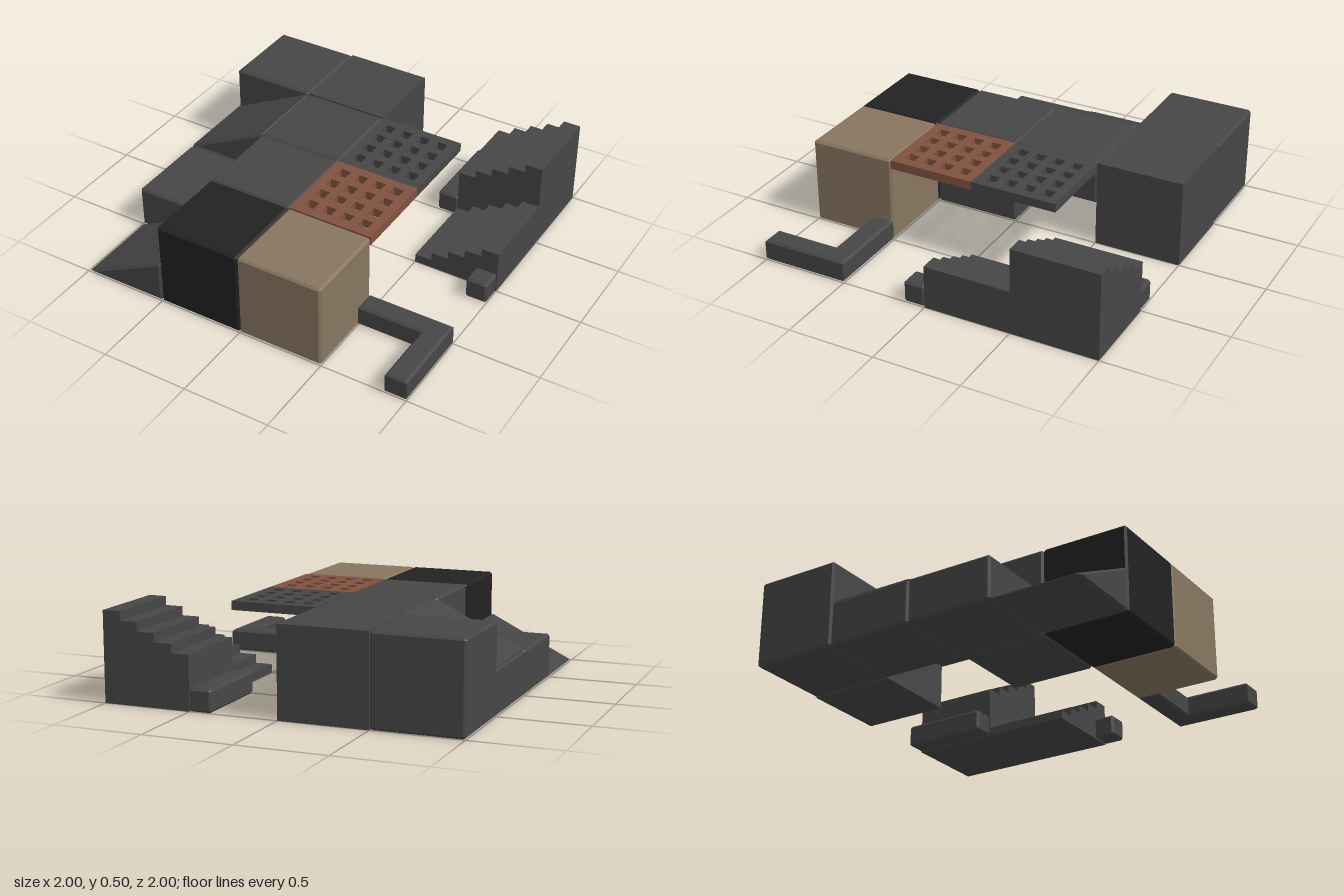
import * as THREE from 'three';
import { ConvexGeometry } from 'three/addons/geometries/ConvexGeometry.js';

const CELL = 0.5, CURB = 0.125, BEVEL = 0.012;

// Convex x-y profile run from z0 to z1 with every edge chamfered
function chamferPrism(profile, z0, z1, c = BEVEL) {
  const pts = [];
  profile.forEach(([x, y], i) => {
    const n = profile.length;
    const p = new THREE.Vector2(x, y);
    const u = new THREE.Vector2(...profile[(i + 1) % n]).sub(p).normalize();
    const v = new THREE.Vector2(...profile[(i + n - 1) % n]).sub(p).normalize();
    const inset = u.clone().add(v).multiplyScalar(c / Math.abs(u.cross(v))).add(p);
    for (const [z, zin] of [[z0, z0 + c], [z1, z1 - c]]) {
      pts.push(new THREE.Vector3(inset.x, inset.y, z));
      for (const d of [u, v]) pts.push(new THREE.Vector3(x + d.x * c, y + d.y * c, zin));
    }
  });
  return new ConvexGeometry(pts);
}

const chamferBox = (x0, x1, y0, y1, z0, z1) =>
  chamferPrism([[x0, y0], [x1, y0], [x1, y1], [x0, y1]], z0, z1);

const shapeOf = (pts) => new THREE.Shape(pts.map(([x, y]) => new THREE.Vector2(x, y)));

// Five steps rising towards +x, solid to the ground
function stairs(firstHeight, z0) {
  const pts = [[0.5, 0]];
  for (let i = 0; i < 5; i++) {
    const h = firstHeight + i * 0.05;
    pts.push([0.5 + i * 0.1, h], [0.6 + i * 0.1, h]);
  }
  pts.push([1, 0]);
  const geo = new THREE.ExtrudeGeometry(shapeOf(pts.reverse()), { depth: CELL, bevelEnabled: false });
  return geo.translate(0, 0, z0);
}

// Square plate with a four by four set of holes
function grate(x0, z0) {
  const shape = shapeOf([[0, 0], [CELL, 0], [CELL, CELL], [0, CELL]]);
  const a = 0.055, pitch = 0.11, w = 0.06;
  for (let i = 0; i < 4; i++) {
    for (let j = 0; j < 4; j++) {
      const x = a + i * pitch, y = a + j * pitch;
      shape.holes.push(new THREE.Path([[x, y], [x, y + w], [x + w, y + w], [x + w, y]]
        .map(([px, py]) => new THREE.Vector2(px, py))));
    }
  }
  const geo = new THREE.ExtrudeGeometry(shape, { depth: 0.05, bevelEnabled: false });
  return geo.rotateX(Math.PI / 2).translate(x0, 0.5, z0);
}

// L-shaped curb lying on the ground
function cornerCurb() {
  const shape = shapeOf([[0.5, 0.5], [1, 0.5], [1, 1], [1 - CURB, 1], [1 - CURB, 0.5 + CURB], [0.5, 0.5 + CURB]]);
  const geo = new THREE.ExtrudeGeometry(shape, {
    depth: CURB - 2 * BEVEL, bevelEnabled: true, bevelSegments: 1,
    bevelSize: BEVEL, bevelThickness: BEVEL, bevelOffset: -BEVEL,
  });
  return geo.rotateX(Math.PI / 2).translate(0, CURB - BEVEL, 0);
}

export function createModel() {
  const model = new THREE.Group();
  model.name = 'buildingBlockSet';

  const material = (name, color) => {
    const m = new THREE.MeshStandardMaterial({ color });
    m.name = name;
    return m;
  };
  const grey = material('darkGrey', 0x464646);
  const black = material('black', 0x222222);
  const tan = material('tan', 0x877660);
  const rust = material('rust', 0x80523f);

  const add = (name, geometry, mat = grey) => {
    const mesh = new THREE.Mesh(geometry, mat);
    mesh.name = name;
    model.add(mesh);
  };

  // Full-height and half-height blocks
  add('backLeftBlock', chamferBox(-1, -0.5, 0, 0.5, -1, -0.5));
  add('plainBlock', new THREE.BoxGeometry(CELL, CELL, CELL).translate(-0.25, 0.25, -0.75));
  add('raisedSlab', chamferBox(-0.5, 0, 0.25, 0.5, -0.5, 0));
  add('middleBlock', chamferBox(-0.5, 0, 0, 0.5, 0, 0.5));
  add('blackBlock', chamferBox(-0.5, 0, 0, 0.5, 0.5, 1), black);
  add('tanBlock', chamferBox(0, 0.5, 0, 0.5, 0.5, 1), tan);
  add('lowSlab', chamferBox(-1, -0.5, 0, 0.25, 0, 0.5));
  add('upperRampBase', chamferBox(-1, -0.5, 0, 0.25, -0.5, 0));

  // Ramps rising towards +x
  const ramp = (y, z) => chamferPrism([[-1, y], [-0.5, y], [-0.5, y + 0.25]], z, z + CELL);
  add('upperRamp', ramp(0.25, -0.5));
  add('lowerRamp', ramp(0, 0.5));

  // Floor grates
  add('greyGrate', grate(0, -0.5));
  add('rustGrate', grate(0, 0), rust);

  // Stair flights
  add('upperStairs', stairs(0.3, -1));
  add('lowerStairs', stairs(0.05, -0.5));

  // Curbs
  add('straightCurb', chamferBox(0.5 - CURB, 0.5, 0, CURB, -1, -0.5));
  add('curbPost', chamferBox(1 - CURB, 1, 0, CURB, 0, CURB));
  add('cornerCurb', cornerCurb());

  return model;
}
